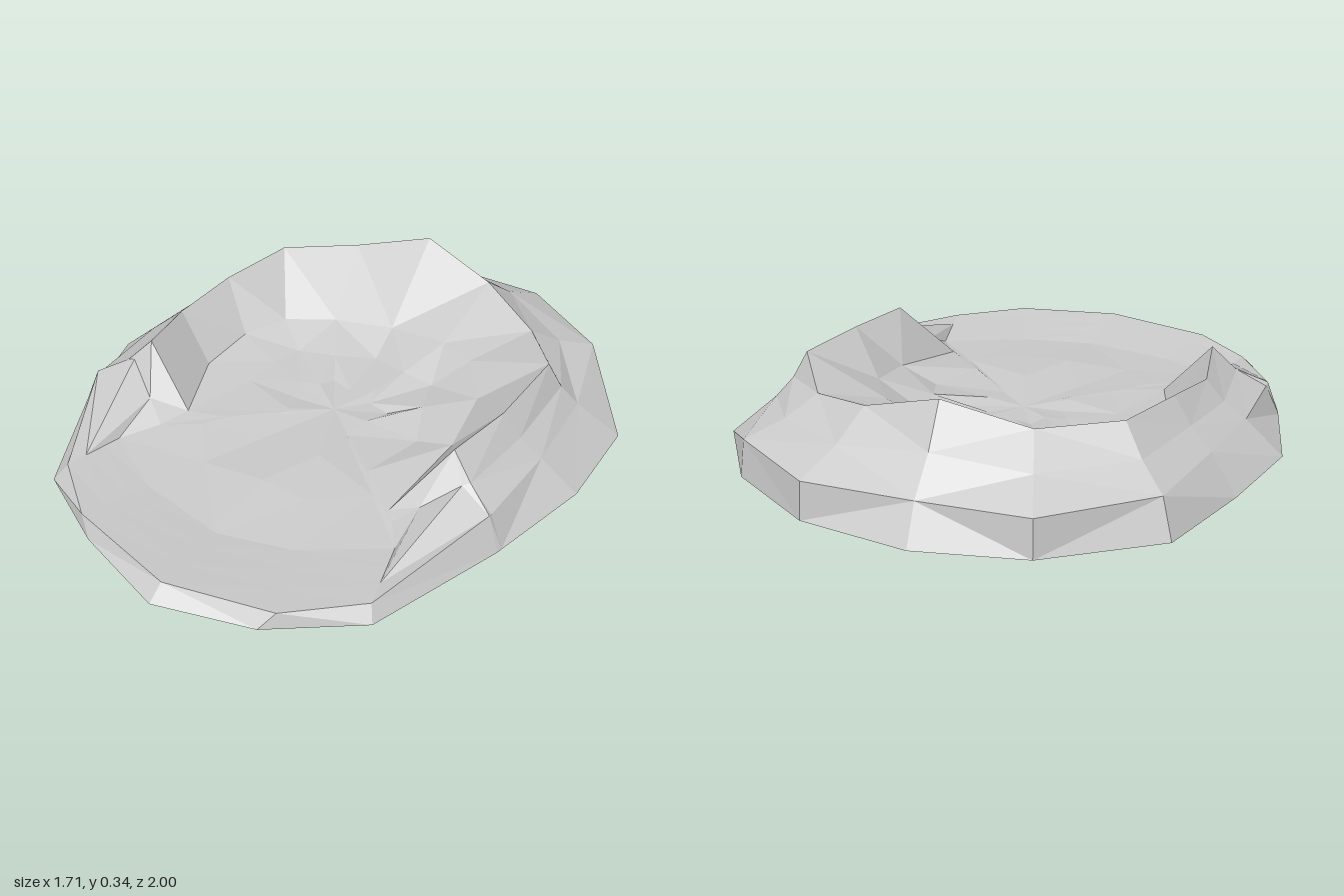
import * as THREE from 'three';

// Spokes run clockwise from the back; 6 and 12 sit just past the broken ends of the wall.
const outline = [ // x, z of the foot of the outer slope
  [-0.03, -1], [0.33, -0.94], [0.64, -0.74], [0.85, -0.44], [0.85, -0.08], [0.76, 0.28],
  [0.755, 0.3], [0.58, 0.75], [0.31, 0.93], [-0.01, 1], [-0.33, 0.87], [-0.6, 0.7],
  [-0.775, 0.3], [-0.78, 0.28], [-0.86, -0.04], [-0.79, -0.36], [-0.69, -0.7], [-0.37, -0.93],
];
const crest = [ // x, y, z of the wall top, or of the low lip at the front
  [-0.02, 0.345, -0.74], [0.24, 0.27, -0.69], [0.47, 0.225, -0.55], [0.62, 0.27, -0.34], [0.6, 0.26, -0.04], [0.55, 0.26, 0.2],
  [0.71, 0.125, 0.275], [0.56, 0.07, 0.72], [0.35, 0.07, 0.89], [0, 0.07, 0.95], [-0.38, 0.07, 0.83], [-0.57, 0.065, 0.66],
  [-0.74, 0.13, 0.275], [-0.57, 0.26, 0.19], [-0.61, 0.235, -0.04], [-0.57, 0.26, -0.27], [-0.5, 0.27, -0.53], [-0.28, 0.27, -0.68],
];
const foot = [ // x, z where the inner wall meets the floor
  [-0.02, -0.47], [0.2, -0.44], [0.33, -0.37], [0.44, -0.2], [0.46, 0.02], [0.41, 0.34],
  [0.44, 0.38], [0.5, 0.47], [0.24, 0.62], [0, 0.67], [-0.3, 0.6], [-0.52, 0.46],
  [-0.44, 0.34], [-0.4, 0.24], [-0.48, 0], [-0.46, -0.2], [-0.38, -0.34], [-0.22, -0.42],
];
// How far up the outer slope its shoulder lies
const shoulder = [0.25, 0.03, 0.06, 0.58, 0.48, 0.24, 0, 0, 0, 0, 0, 0, 0, 0.2, 0.48, 0.4, 0.2, 0.03];
// Spurs that fall from the broken wall ends to the lip
const spur = { 6: [0.6, 0.17, 0.24], 12: [-0.62, 0.19, 0.225] };

const N = outline.length;
const centre = new THREE.Vector3(0, 0.052, -0.03);
const mix = (a, b, t, y) => {
  const p = a.clone().lerp(b, t);
  if (y !== undefined) p.y = y;
  return p;
};

// One radial cross-section, from the outline to near the centre
function spoke(i) {
  const [ox, oz] = outline[i];
  const [fx, fz] = foot[i];
  const base = new THREE.Vector3(ox, 0.02 * THREE.MathUtils.clamp((oz + 0.45) / 0.7, 0, 1), oz);
  const top = new THREE.Vector3(...crest[i]);
  // The floor banks up towards the back and the left wall
  const bank = 0.2 * Math.max(0, fx) * Math.max(0, 0.4 - fz);
  const floor = new THREE.Vector3(fx, 0.085 - 0.045 * fz / 0.67 + bank, fz);
  let slope;
  if (spur[i]) {
    const knee = new THREE.Vector3(...spur[i]);
    slope = [top, knee, mix(knee, floor, 0.6)];
  } else if (i > 6 && i < 12) {
    slope = [top, mix(top, floor, 0.35), mix(top, floor, 0.7)];
  } else {
    const low = mix(base, top, shoulder[i], 0.12);
    slope = [low, mix(low, top, 0.55, 0.06 + top.y * 0.46), top];
  }
  // Uneven floor, varying smoothly with direction
  const angle = Math.atan2(fx, fz + 0.03);
  const wobble = Math.sin(angle * 7 + 1);
  const mid = mix(floor, centre, 0.33 + 0.05 * wobble, 0.064 + 0.007 * wobble - 0.012 * fz + 0.45 * bank);
  const inner = mix(floor, centre, 0.68 + 0.06 * Math.cos(angle * 8), 0.057 + 0.006 * Math.sin(angle * 5));
  return [base, ...slope, floor, mid, inner];
}

// Quad split along its shorter diagonal
function quad(list, a, b, c, d) {
  if (a.distanceTo(c) < b.distanceTo(d)) list.push(a, b, c, a, c, d);
  else list.push(a, b, d, b, c, d);
}

function meshFrom(triangles, name) {
  const geometry = new THREE.BufferGeometry().setFromPoints(triangles);
  geometry.computeVertexNormals();
  const material = new THREE.MeshStandardMaterial({ color: 0xcccccc, flatShading: true });
  const mesh = new THREE.Mesh(geometry, material);
  mesh.name = name;
  return mesh;
}

export function createModel() {
  const spokes = outline.map((_, i) => spoke(i));
  const wall = [], floor = [], underside = [];
  const below = new THREE.Vector3(0, 0.008, 0);
  for (let i = 0; i < N; i++) {
    const s = spokes[i], n = spokes[(i + 1) % N];
    for (let k = 0; k < s.length - 1; k++) {
      quad(k < 4 ? wall : floor, s[k], s[k + 1], n[k + 1], n[k]);
    }
    floor.push(s[s.length - 1], centre, n[n.length - 1]);
    underside.push(s[0], n[0], below);
  }
  const group = new THREE.Group();
  group.name = 'crater';
  group.add(meshFrom(wall, 'craterWall'), meshFrom(floor, 'craterFloor'), meshFrom(underside, 'underside'));
  return group;
}
